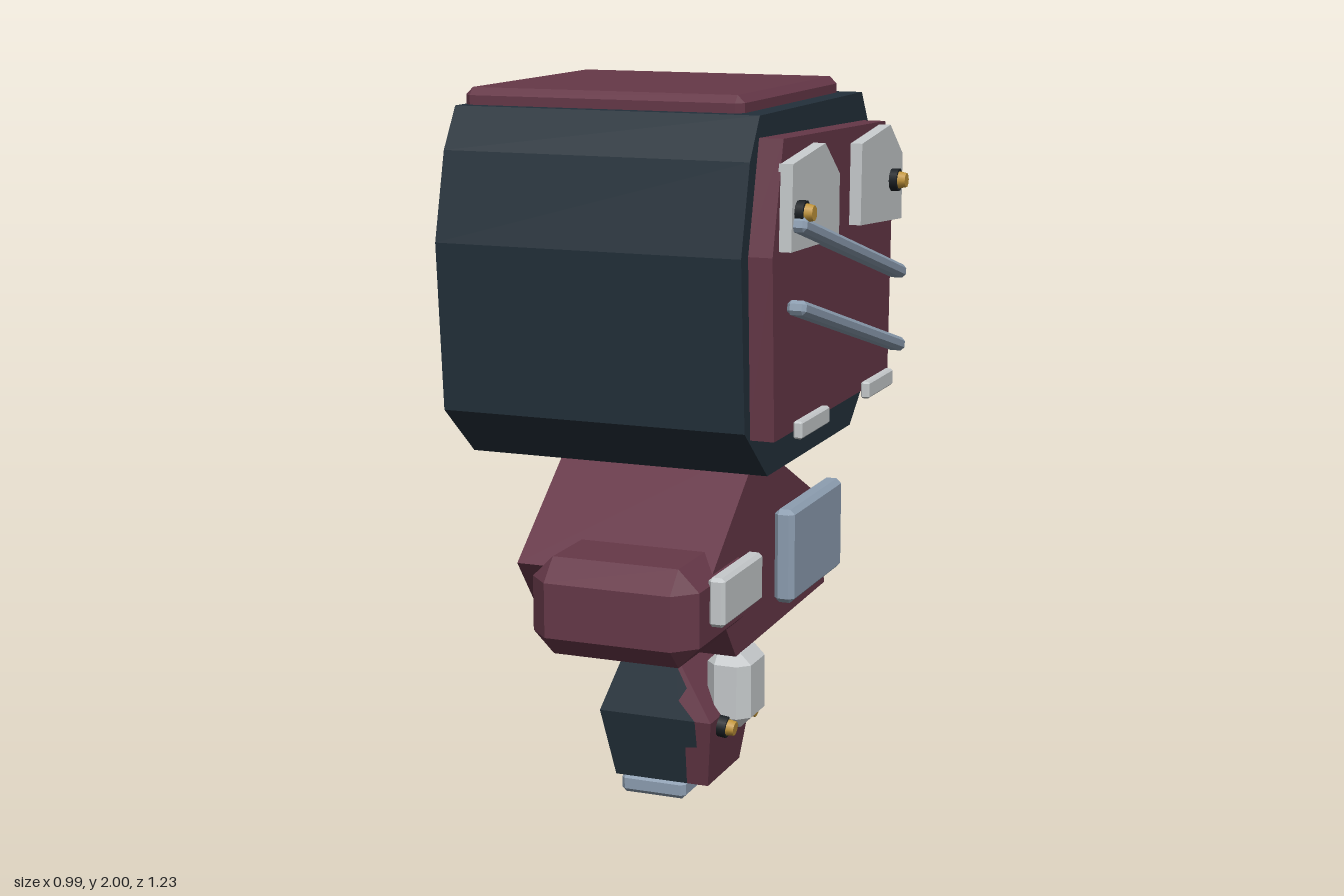
import * as THREE from 'three';
import { ConvexGeometry } from 'three/addons/geometries/ConvexGeometry.js';

const mat = (name, color) => {
  const m = new THREE.MeshStandardMaterial({ color });
  m.name = name;
  return m;
};

export function createModel() {
  const model = new THREE.Group();
  model.name = 'model';
  const dark = mat('dark slate', 0x23303a);
  const maroon = mat('maroon', 0x663848);
  const pale = mat('pale grey', 0xc6cacc);
  const steel = mat('steel blue', 0x8d9eb1);
  const gold = mat('gold', 0xc0943a);
  const black = mat('black', 0x1b2024);

  const add = (name, geometry, material, parent = model) => {
    const mesh = new THREE.Mesh(geometry, material);
    mesh.name = name;
    parent.add(mesh);
    return mesh;
  };

  // Box with every edge cut by c, given by its ranges
  const chamferBox = (x0, x1, y0, y1, z0, z1, c) => {
    const pts = [];
    for (const i of [0, 1]) for (const j of [0, 1]) for (const k of [0, 1]) {
      const p = [i ? x1 : x0, j ? y1 : y0, k ? z1 : z0];
      const inward = [i ? -c : c, j ? -c : c, k ? -c : c];
      for (let axis = 0; axis < 3; axis++) {
        pts.push(new THREE.Vector3(...p.map((v, a) => (a === axis ? v : v + inward[a]))));
      }
    }
    return new ConvexGeometry(pts);
  };

  // Side profile of [z, y] points, extruded from x0 to x1
  const sideExtrude = (profile, x0, x1) => {
    const shape = new THREE.Shape(profile.map(([z, y]) => new THREE.Vector2(-z, y)));
    return new THREE.ExtrudeGeometry(shape, { depth: x1 - x0, bevelEnabled: false })
      .rotateY(Math.PI / 2).translate(x0, 0, 0);
  };

  // Rivet: black collar and gold cap along x
  const rivet = (x, y, z, tilt = 0) => {
    const g = new THREE.Group();
    g.name = 'rivet';
    const collar = new THREE.CylinderGeometry(0.032, 0.032, 0.03, 10).rotateZ(-Math.PI / 2);
    const cap = new THREE.CylinderGeometry(0.02, 0.025, 0.022, 10).rotateZ(-Math.PI / 2);
    add('rivetCollar', collar, black, g);
    add('rivetCap', cap, gold, g).position.x = 0.025;
    g.position.set(x, y, z);
    g.rotation.z = tilt;
    model.add(g);
  };

  // Head block and top hatch
  add('head', sideExtrude([
    [0.42, 1.015], [-0.27, 1.015], [-0.445, 1.16], [-0.475, 1.61], [-0.42, 1.84],
    [-0.34, 1.955], [0.49, 1.955], [0.56, 1.845], [0.62, 1.61], [0.59, 1.16],
  ], -0.495, 0.355), dark);
  add('topHatch', chamferBox(-0.49, 0.295, 1.93, 2, -0.315, 0.455, 0.02), maroon);

  // Side panel with its plates, rivets, rails and clips
  add('sidePanel', sideExtrude([
    [0.55, 1.137], [-0.415, 1.137], [-0.43, 1.61], [-0.355, 1.875], [0.495, 1.9], [0.57, 1.61],
  ], 0.35, 0.42), maroon);
  add('frontPlate', sideExtrude([
    [0.525, 1.62], [0.145, 1.61], [0.145, 1.78], [0.265, 1.87], [0.515, 1.84],
  ], 0.415, 0.453), pale);
  add('rearPlate', sideExtrude([
    [-0.04, 1.62], [-0.418, 1.595], [-0.42, 1.78], [-0.3, 1.87], [-0.045, 1.84],
  ], 0.415, 0.453), pale);
  for (const z of [0.473, -0.322]) rivet(0.46, 1.715, z);
  for (const y of [1.57, 1.36]) {
    const rail = add('rail', chamferBox(-0.026, 0.026, -0.019, 0.019, -0.457, 0.457, 0.01), steel);
    rail.position.set(0.461, y, 0.07);
    rail.rotation.x = -0.267;
  }
  for (const z of [0.24, -0.325]) {
    add('clip', chamferBox(0.44, 0.465, 1.13, 1.177, z, z + 0.225, 0.005), pale);
  }

  // Body, snout and their plates
  add('body', sideExtrude([
    [0.155, 0.425], [-0.61, 0.44], [-0.515, 0.745], [-0.025, 0.993], [0.36, 0.69],
  ], -0.4, 0.17), maroon);
  add('snout', chamferBox(-0.3, 0.185, 0.48, 0.753, 0.08, 0.53, 0.06), maroon);
  add('snoutPlate', chamferBox(0.18, 0.228, 0.58, 0.717, 0.095, 0.4, 0.01), pale);
  add('bodyPlate', chamferBox(0.188, 0.248, 0.515, 0.79, -0.54, -0.095, 0.014), steel);

  // Foot: two-colour tapered block, widest at mid height, with a stepped seam
  const taper = (outline, yA, halfA, yB, halfB) => {
    const shape = new THREE.Shape(outline.map(([x, y]) => new THREE.Vector2(x, y)));
    const geo = new THREE.ExtrudeGeometry(shape, { depth: 2, bevelEnabled: false }).translate(0, 0, -1);
    const pos = geo.attributes.position;
    for (let i = 0; i < pos.count; i++) {
      const t = (pos.getY(i) - yA) / (yB - yA);
      pos.setZ(i, 0.073 + pos.getZ(i) * (halfA + (halfB - halfA) * t));
    }
    geo.computeVertexNormals();
    return geo;
  };
  const lowSeam = [[0.04, 0.05], [0.045, 0.165], [0.08, 0.17], [0.08, 0.25]];
  const highSeam = [[0.08, 0.25], [0.025, 0.3], [0.045, 0.335], [0.005, 0.393]];
  const lower = (pts) => taper(pts, 0.05, 0.125, 0.25, 0.168);
  const upper = (pts) => taper(pts, 0.25, 0.168, 0.393, 0.118);
  add('footLower', lower([[-0.177, 0.05], ...lowSeam, [-0.207, 0.25]]), dark);
  add('footUpper', upper([[-0.207, 0.25], ...highSeam, [-0.16, 0.393]]), dark);
  add('footSideLower', lower([...lowSeam, [0.128, 0.25], [0.103, 0.05]]), maroon);
  add('footSideUpper', upper([...highSeam, [0.02, 0.393], [0.128, 0.25]]), maroon);
  add('footPad', chamferBox(-0.16, 0.035, 0, 0.055, -0.057, 0.205, 0.012), steel);

  // Buckle on the foot
  add('buckle', chamferBox(0.075, 0.205, 0.21, 0.427, -0.015, 0.16, 0.032), pale);
  for (const z of [0.16, -0.015]) rivet(0.135, 0.22, z, -0.12);

  return model;
}
